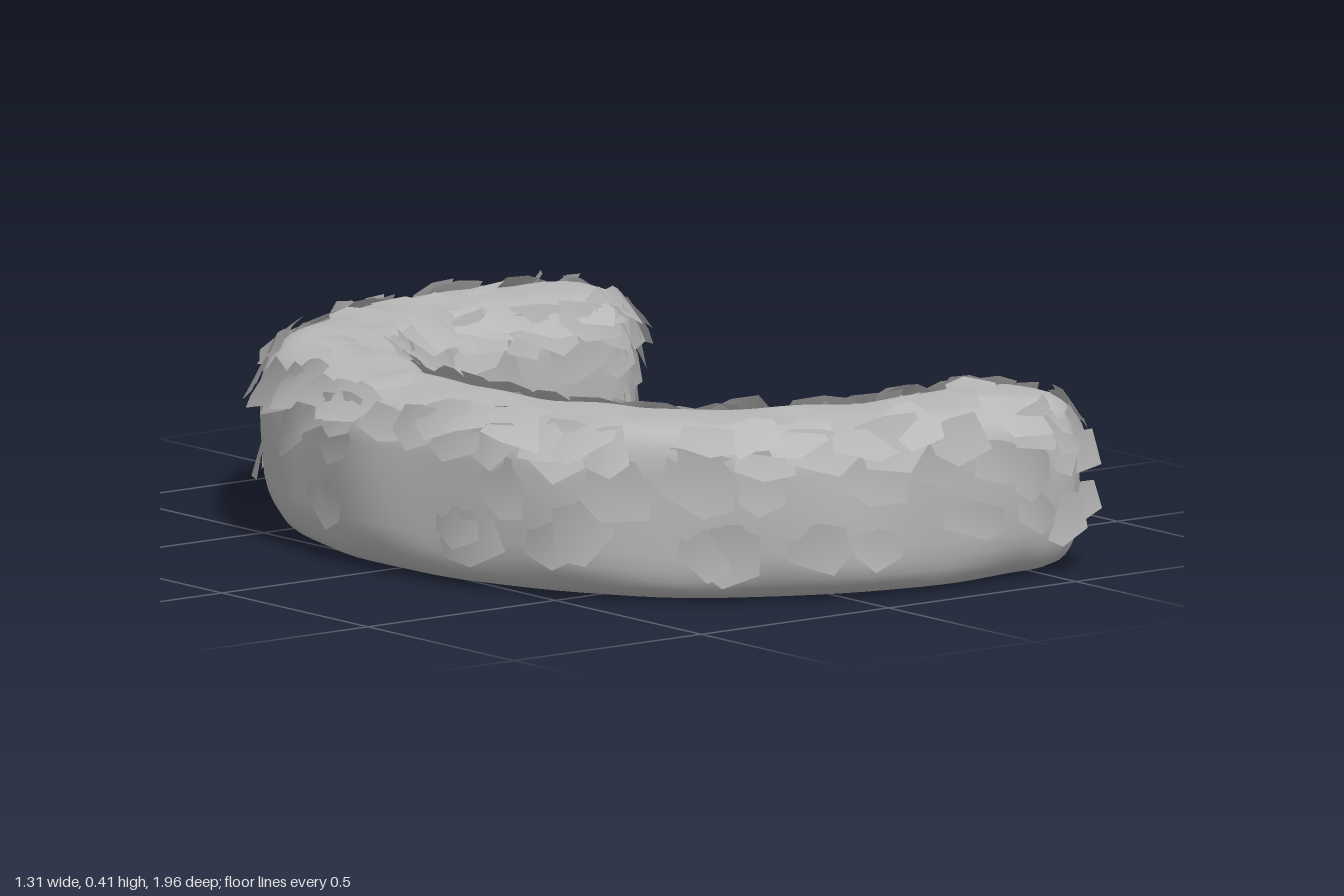
import * as THREE from 'three';

const leafGrey = new THREE.MeshStandardMaterial({ color: 0xb8b8b8, side: THREE.DoubleSide });
leafGrey.name = 'leaf grey';

// Centre line of the C-shaped hedge, as (x, z)
const path = new THREE.CatmullRomCurve3([
  [0.47, -0.75], [0.22, -0.765], [-0.07, -0.69], [-0.3, -0.49], [-0.42, -0.22], [-0.45, 0.04],
  [-0.39, 0.33], [-0.255, 0.57], [0, 0.73], [0.25, 0.785], [0.47, 0.765],
].map(([x, z]) => new THREE.Vector3(x, 0, z)));
const CAP = 0.165, HALF_W = 0.166, HALF_H = 0.19, MID_Y = 0.205;

let seed = 7;
const rand = () => (seed = (seed * 16807) % 2147483647) / 2147483647;
const spread = (s) => (rand() * 2 - 1) * s;
const power = (c, e) => Math.sign(c) * Math.abs(c) ** e;

// Hedge skin: v runs 0..1 along the path, -1..0 and 1..2 round off the two ends;
// a goes round the rounded-square section (0 = one side, PI/2 = top)
function skin(v, a) {
  const u = THREE.MathUtils.clamp(v, 0, 1);
  const p = path.getPointAt(u), t = path.getTangentAt(u);
  const theta = Math.min(Math.abs(v - u), 1) * Math.PI / 2;
  const k = Math.max(Math.cos(theta), 0);
  const up = power(Math.sin(a), 0.5);
  // Ends are round in plan, with softened upper and lower edges
  const edge = 1 - 0.16 * Math.abs(up) ** 4;
  p.addScaledVector(t, Math.sign(v - u) * CAP * edge * power(Math.sin(theta), 0.85));
  const lump = 1 + 0.025 * Math.sin(v * 41 + a * 3) + 0.02 * Math.sin(v * 67 - a * 2);
  const w = power(Math.cos(a), 0.5) * HALF_W * k ** 0.85 * (1 + 0.03 * up) * lump;
  p.x += -t.z * w;
  p.z += t.x * w;
  p.y = MID_Y + up * HALF_H * k ** 0.15 * (up > 0 ? 0.985 + 0.4 * (lump - 1) : 1.015);
  return p;
}

function skinNormal(v, a) {
  const e = 0.015;
  const dv = skin(v + e, a).sub(skin(v - e, a));
  const da = skin(v, a + e).sub(skin(v, a - e));
  const n = da.cross(dv).normalize();
  // Keep the normal pointing away from the centre line
  const u = THREE.MathUtils.clamp(v, 0, 1);
  const out = skin(v, a).sub(path.getPointAt(u).setY(MID_Y));
  return n.dot(out) < 0 ? n.negate() : n;
}

// Solid body, lofted through section loops
function hedgeBody() {
  const vs = [], sides = 32, pos = [], idx = [];
  for (let i = 0; i <= 12; i++) vs.push(-1 + i / 12);
  for (let i = 1; i < 70; i++) vs.push(i / 70);
  for (let i = 0; i <= 12; i++) vs.push(1 + i / 12);
  vs.forEach((v, r) => {
    for (let s = 0; s < sides; s++) {
      pos.push(...skin(v, (s / sides) * Math.PI * 2).toArray());
      if (r === 0) continue;
      const n = (s + 1) % sides, a = (r - 1) * sides + s, b = (r - 1) * sides + n;
      const c = r * sides + s, d = r * sides + n;
      idx.push(a, b, c, b, d, c);
    }
  });
  const g = new THREE.BufferGeometry();
  g.setAttribute('position', new THREE.Float32BufferAttribute(pos, 3));
  g.setIndex(idx);
  g.computeVertexNormals();
  return g;
}

// Ragged leaf flaps: rooted in the skin, tips hanging down and lifted outward,
// shaded softly with the hedge's own normals
function leafFlaps() {
  const pos = [], nrm = [], idx = [];
  const addFlap = (v, a, length, width, lift) => {
    const p = skin(v, a), n = skinNormal(v, a);
    const down = new THREE.Vector3(spread(0.3), -1 + spread(0.2), spread(0.3));
    down.addScaledVector(n, -down.dot(n)).normalize();
    const side = new THREE.Vector3().crossVectors(down, n);
    const base = pos.length / 3;
    const put = (s, d, h) => {
      pos.push(...p.clone().addScaledVector(side, s * width)
        .addScaledVector(down, d * length).addScaledVector(n, h).toArray());
      nrm.push(...n.clone().addScaledVector(side, s * 0.3).addScaledVector(down, -d * 0.2)
        .normalize().toArray());
    };
    put(-0.5, -0.45, -0.008);
    put(0, -0.5, -0.002);
    put(0.5, -0.45, -0.008);
    put(-0.55, 0.25 + spread(0.2), lift * 0.4);
    put(spread(0.25), 0.5 + spread(0.15), lift);
    put(0.55, 0.25 + spread(0.2), lift * 0.5);
    for (const q of [base, base + 1]) idx.push(q, q + 1, q + 3, q + 1, q + 4, q + 3);
  };
  // Angles on the lower walls, upper walls, shoulders and top
  const rows = [-0.12, 0.12, 0.45, 0.75, 1.57, 2.39, 2.69, 3.02, 3.26];
  rows.forEach((a) => {
    const top = Math.sin(a) > 0.8, low = Math.sin(a) < 0.2;
    const columns = low ? 24 : 30;
    for (let i = 0; i < columns; i++) {
      const v = (i + 0.5 + spread(0.45)) / columns;
      if (rand() < (top ? 0.55 : low ? 0.25 : 0.15)) continue;
      addFlap(v, a + spread(0.08), 0.11 + spread(0.03), 0.12 + spread(0.03),
        top ? 0.01 + rand() * 0.015 : low ? 0.01 + rand() * 0.018 : 0.014 + rand() * 0.024);
    }
    // A few flaps around the rounded ends
    if (top) return;
    for (const f of [0.12, 0.4, 0.65]) {
      for (const v of [-f, 1 + f]) addFlap(v, a + spread(0.08), 0.1, 0.09, 0.008 + rand() * 0.016);
    }
  });
  const g = new THREE.BufferGeometry();
  g.setAttribute('position', new THREE.Float32BufferAttribute(pos, 3));
  g.setAttribute('normal', new THREE.Float32BufferAttribute(nrm, 3));
  g.setIndex(idx);
  return g;
}

export function createModel() {
  const model = new THREE.Group();
  model.name = 'curvedHedge';
  for (const [name, geometry] of [['hedgeBody', hedgeBody()], ['leafFlaps', leafFlaps()]]) {
    const mesh = new THREE.Mesh(geometry, leafGrey);
    mesh.name = name;
    model.add(mesh);
  }
  return model;
}
